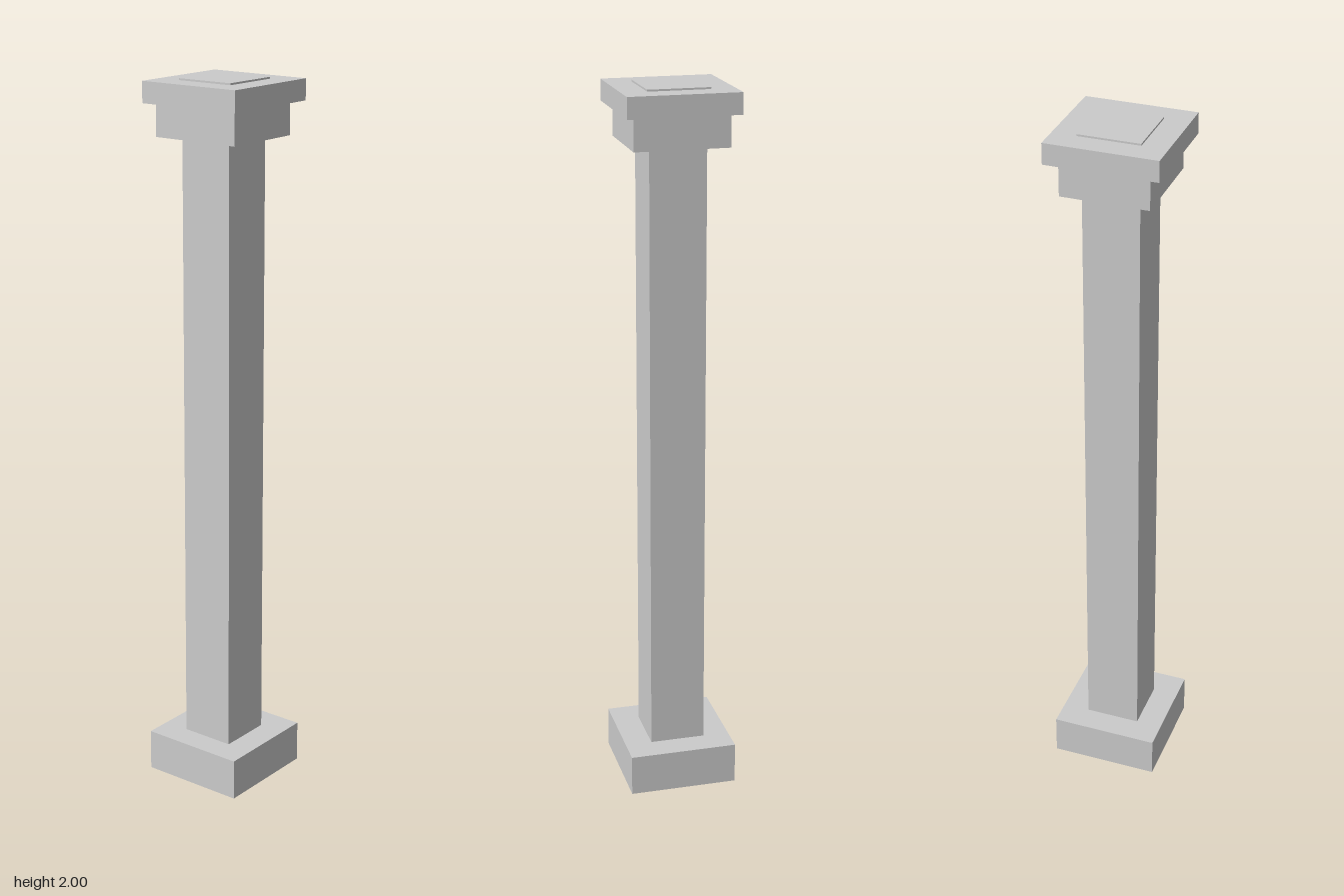
import * as THREE from 'three';

export function createModel() {
  const group = new THREE.Group();
  const material = new THREE.MeshStandardMaterial({ color: 0xcccccc, flatShading: true });

  // One square block given by its extents on each axis
  const block = (name, [x0, x1], [y0, y1], [z0, z1]) => {
    const mesh = new THREE.Mesh(new THREE.BoxGeometry(x1 - x0, y1 - y0, z1 - z0), material);
    mesh.position.set((x0 + x1) / 2, (y0 + y1) / 2, (z0 + z1) / 2);
    mesh.name = name;
    group.add(mesh);
  };

  // Stacked from the ground up
  block('base', [-0.153, 0.153], [0, 0.117], [-0.153, 0.153]);
  block('shaft', [-0.079, 0.077], [0.117, 1.847], [-0.077, 0.079]);
  block('capital', [-0.132, 0.128], [1.847, 1.937], [-0.118, 0.123]);
  block('topSlab', [-0.153, 0.153], [1.937, 1.995], [-0.153, 0.153]);
  block('topPanel', [-0.086, 0.084], [1.995, 2], [-0.086, 0.083]);

  return group;
}
